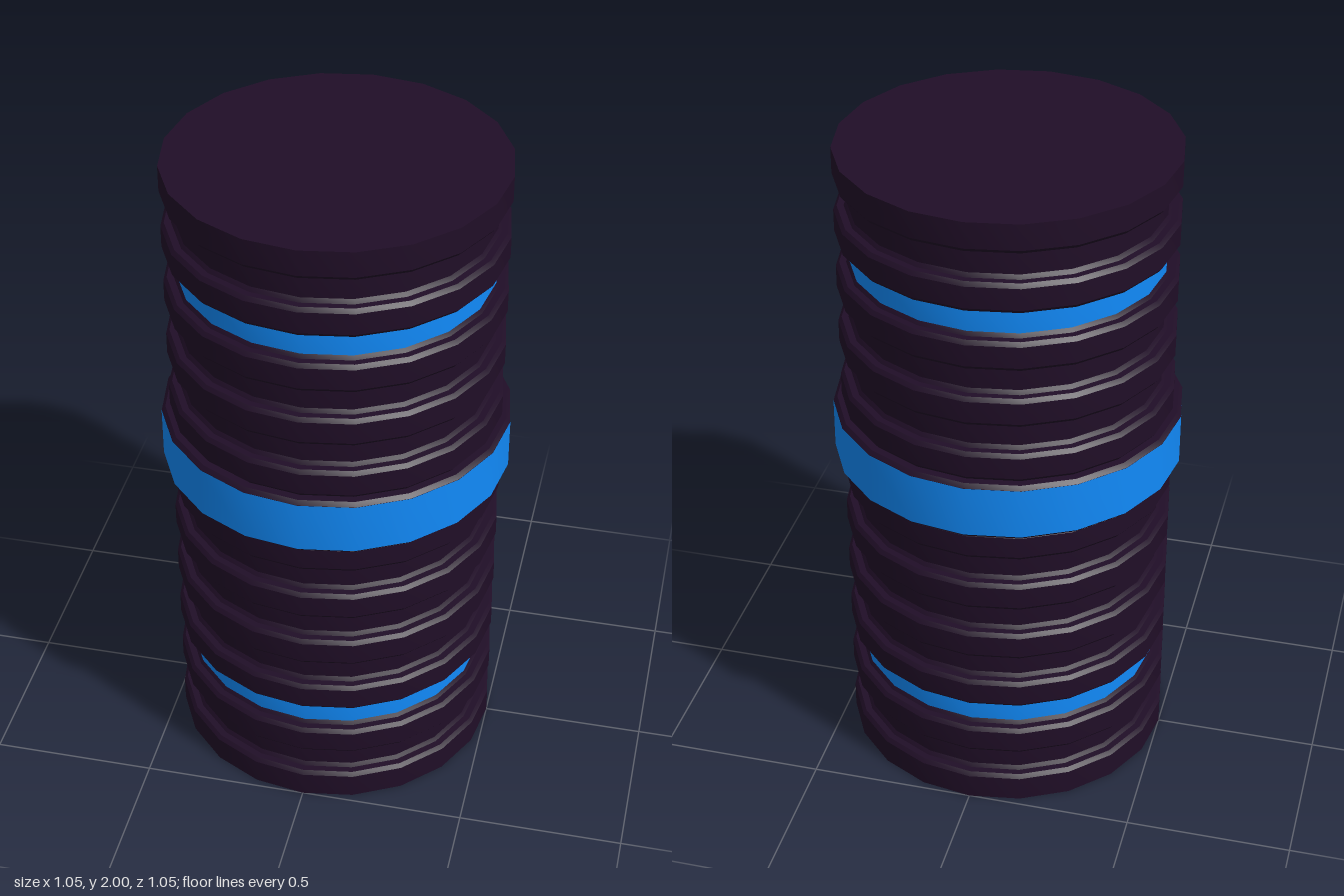
import * as THREE from 'three';
import { toCreasedNormals } from 'three/addons/utils/BufferGeometryUtils.js';

const SIDES = 20;
const STEP = 2 / 22; // height of one ridge or groove
const RIDGE = 0.5, GROOVE = 0.462, BAND = 0.526;

const dark = new THREE.MeshStandardMaterial({ color: 0x200e27 });
const blue = new THREE.MeshStandardMaterial({ color: 0x118af9 });

// Turned part, smooth around and sharp across the profile
function turned(name, points, material) {
  const profile = points.map(([r, y]) => new THREE.Vector2(r, y));
  const geometry = toCreasedNormals(new THREE.LatheGeometry(profile, SIDES), 0.42);
  const mesh = new THREE.Mesh(geometry, material);
  mesh.name = name;
  return mesh;
}

// Raised ring with chamfered corners and small fillets into the grooves
function ring(y0, y1, r) {
  const points = [];
  if (y0 < 0.001) points.push([0, 0], [r, 0]);
  else points.push([GROOVE, y0 - 0.012], [GROOVE + 0.008, y0], [r - 0.01, y0], [r, y0 + 0.012]);
  if (y1 > 1.999) points.push([r, 2], [0, 2]);
  else points.push([r, y1 - 0.012], [r - 0.01, y1], [GROOVE + 0.008, y1], [GROOVE, y1 + 0.012]);
  return points;
}

export function createModel() {
  const model = new THREE.Group();
  model.name = 'ribbedCylinder';

  // Ribbed body: six ridges below the central collar, five above
  const profile = [];
  for (let i = 0; i <= 8; i += 2) profile.push(...ring(i * STEP, (i + 1) * STEP, RIDGE));
  // Ridge, collar and ridge stacked without grooves
  const c0 = 11 * STEP, c1 = 13 * STEP;
  profile.push(
    ...ring(10 * STEP, c0, RIDGE).slice(0, 4),
    [RIDGE, c0 - 0.012], [RIDGE - 0.01, c0],
    [BAND - 0.012, c0], [BAND - 0.001, c0 + 0.012],
    [BAND - 0.001, c1 - 0.012], [BAND - 0.012, c1],
    [RIDGE - 0.01, c1], [RIDGE, c1 + 0.012],
    ...ring(c1, 14 * STEP, RIDGE).slice(4)
  );
  for (let i = 15; i <= 21; i += 2) profile.push(...ring(i * STEP, (i + 1) * STEP, RIDGE));
  model.add(turned('ribbedBody', profile, dark));

  // Blue face of the central collar and the two blue grooves
  const stripes = [
    ['collarStripe', 11, 13, BAND],
    ['lowerGrooveStripe', 3, 4, GROOVE + 0.001],
    ['upperGrooveStripe', 18, 19, GROOVE + 0.001],
  ];
  for (const [name, a, b, r] of stripes) {
    model.add(turned(name, [[r, a * STEP + 0.012], [r, b * STEP - 0.012]], blue));
  }
  return model;
}
